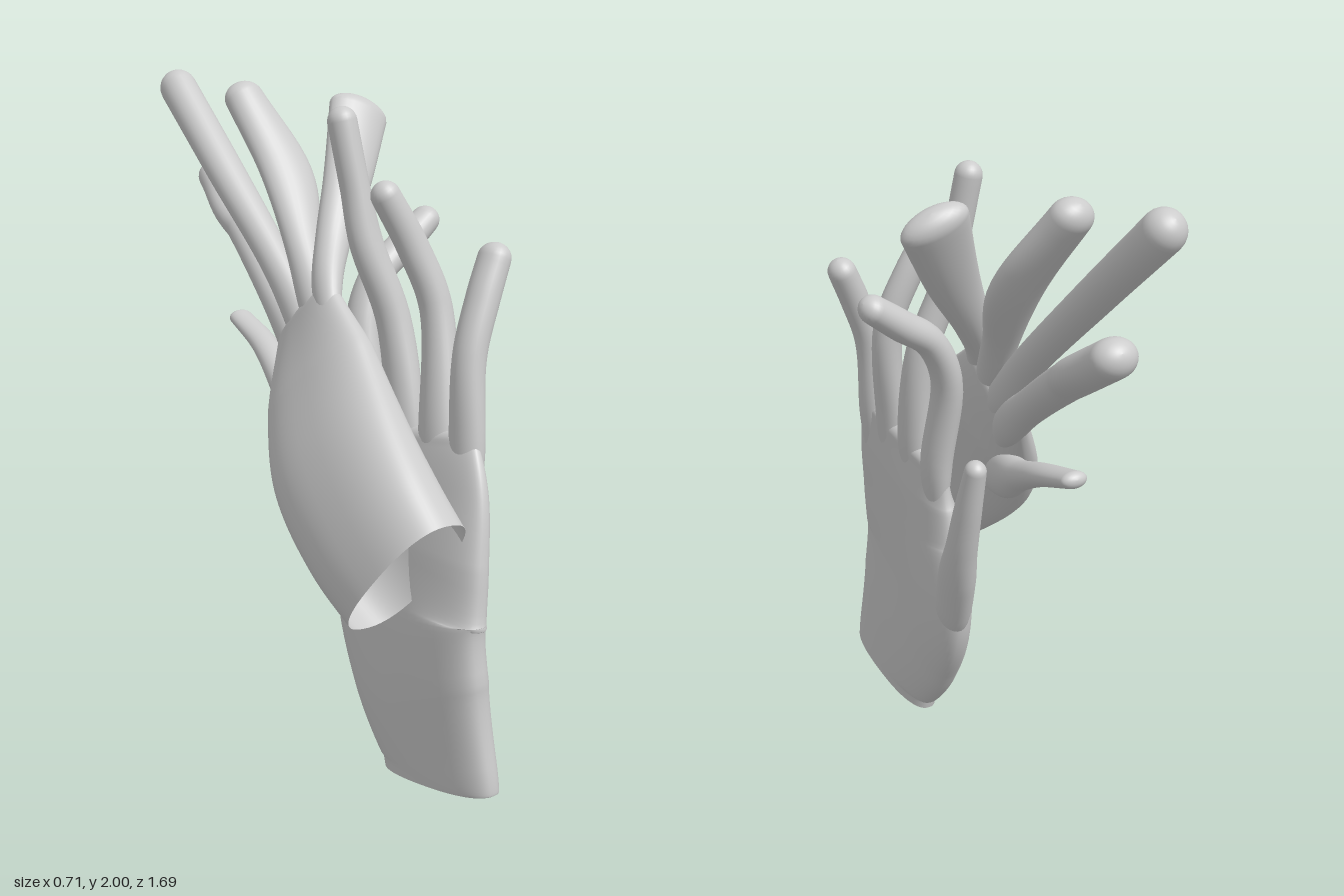
import * as THREE from 'three';

const material = new THREE.MeshStandardMaterial({ color: 0xcccccc, side: THREE.DoubleSide });
const bulge = (v, e) => Math.sign(v) * Math.abs(v) ** e;

// Smooth loft of rounded sections with a round tip and an open start.
// Row: x, y, z, half thickness (across x), half width, roll. Exponent below 1 gives blunter sides.
function loft(name, rows, steps, sides, exponent) {
  const path = new THREE.CatmullRomCurve3(rows.map(r => new THREE.Vector3(r[0], r[1], r[2])));
  const size = new THREE.CatmullRomCurve3(rows.map(r => new THREE.Vector3(r[3], r[4], r[5] || 0)));
  const pos = [], idx = [], capSteps = 7;
  for (let i = 0; i <= steps + capSteps; i++) {
    const t = Math.min(i / steps, 1);
    const c = path.getPoint(t), s = size.getPoint(t), T = path.getTangent(t);
    const a = Math.max(0, i - steps) / capSteps * Math.PI / 2;
    c.addScaledVector(T, Math.min(s.x, s.y) * Math.sin(a));
    const k = Math.max(Math.cos(a), 0.001);
    const U0 = new THREE.Vector3(1, 0, 0).addScaledVector(T, -T.x).normalize();
    const V0 = new THREE.Vector3().crossVectors(T, U0);
    const cr = Math.cos(s.z), sr = Math.sin(s.z);
    const U = U0.clone().multiplyScalar(cr).addScaledVector(V0, -sr);
    const V = V0.clone().multiplyScalar(cr).addScaledVector(U0, sr);
    for (let j = 0; j < sides; j++) {
      const q = j / sides * Math.PI * 2;
      const p = c.clone()
        .addScaledVector(U, bulge(Math.cos(q), exponent) * s.x * k)
        .addScaledVector(V, bulge(Math.sin(q), exponent) * s.y * k);
      pos.push(p.x, p.y, p.z);
    }
  }
  for (let i = 0; i < steps + capSteps; i++) {
    for (let j = 0; j < sides; j++) {
      const a = i * sides + j, b = i * sides + (j + 1) % sides;
      idx.push(a, b, b + sides, a, b + sides, a + sides);
    }
  }
  const g = new THREE.BufferGeometry();
  g.setAttribute('position', new THREE.Float32BufferAttribute(pos, 3));
  g.setIndex(idx);
  g.computeVertexNormals();
  const mesh = new THREE.Mesh(g, material);
  mesh.name = name;
  return mesh;
}

function glove(name, parts) {
  const group = new THREE.Group();
  group.name = name;
  for (const [part, rows] of Object.entries(parts)) {
    group.add(part === 'palm' ? loft(part, rows, 48, 64, 0.82) : loft(part, rows, 32, 28, 1));
  }
  return group;
}

export function createModel() {
  const model = new THREE.Group();
  model.name = 'pairOfGloves';

  // Upright glove; finger roots start thin inside the palm
  model.add(glove('uprightGlove', {
    palm: [
      [-0.04, 0.052, 0.61, 0.07, 0.244, 0], [-0.042, 0.11, 0.597, 0.075, 0.255, 0.02],
      [-0.045, 0.32, 0.505, 0.088, 0.33, 0.07], [-0.035, 0.55, 0.43, 0.085, 0.38, 0.1],
      [-0.02, 0.74, 0.44, 0.075, 0.34, 0.07], [0, 0.9, 0.43, 0.06, 0.31, 0.03], [0.015, 1.02, 0.405, 0.04, 0.268, 0]],
    thumb: [
      [0, 0.38, 0.21, 0.02, 0.05], [0.01, 0.53, 0.12, 0.05, 0.085], [0.035, 0.68, 0.04, 0.052, 0.078],
      [0.055, 0.8, -0.02, 0.046, 0.06], [0.065, 0.95, -0.075, 0.04, 0.05], [0.068, 1.1, -0.125, 0.033, 0.035]],
    indexFinger: [
      [0.01, 0.78, 0.215, 0.02, 0.04], [0.02, 1.0, 0.195, 0.045, 0.066], [0.02, 1.3, 0.125, 0.047, 0.057],
      [0.09, 1.44, 0.1, 0.047, 0.054], [0.2, 1.515, 0.08, 0.047, 0.053], [0.295, 1.58, 0.065, 0.043, 0.048]],
    middleFinger: [
      [0.01, 0.82, 0.355, 0.02, 0.04], [0.02, 1.05, 0.34, 0.047, 0.068], [0.015, 1.35, 0.285, 0.05, 0.052],
      [-0.05, 1.57, 0.24, 0.05, 0.046], [-0.07, 1.73, 0.21, 0.042, 0.044], [-0.09, 1.905, 0.178, 0.042, 0.043]],
    ringFinger: [
      [0.01, 0.82, 0.5, 0.02, 0.04], [0.02, 1.05, 0.49, 0.045, 0.067], [0.055, 1.4, 0.43, 0.047, 0.047],
      [0, 1.57, 0.395, 0.047, 0.043], [-0.08, 1.72, 0.37, 0.042, 0.042]],
    littleFinger: [
      [0.005, 0.8, 0.64, 0.015, 0.035], [0.02, 1.05, 0.62, 0.043, 0.06], [0.04, 1.3, 0.597, 0.046, 0.05],
      [0.095, 1.45, 0.58, 0.047, 0.05], [0.145, 1.555, 0.565, 0.045, 0.05]]
  }));

  // Leaning glove, with fingers flaring toward the tips
  model.add(glove('leaningGlove', {
    palm: [
      [-0.21, 0.73, 0.655, 0.13, 0.228, -0.22], [-0.215, 0.84, 0.5, 0.125, 0.245, -0.26],
      [-0.195, 0.98, 0.315, 0.11, 0.25, -0.3], [-0.135, 1.15, 0.13, 0.08, 0.225, -0.25],
      [-0.075, 1.3, -0.02, 0.045, 0.165, -0.1]],
    thumb: [
      [-0.18, 0.92, 0.2, 0.03, 0.05], [-0.125, 1.0, 0.01, 0.055, 0.075], [-0.07, 1.07, -0.16, 0.047, 0.046],
      [-0.02, 1.15, -0.35, 0.045, 0.034], [0, 1.205, -0.53, 0.04, 0.025]],
    indexFinger: [
      [-0.12, 1.1, 0.06, 0.02, 0.04], [-0.07, 1.22, -0.1, 0.045, 0.062], [-0.035, 1.32, -0.25, 0.05, 0.054],
      [0.03, 1.5, -0.54, 0.065, 0.055], [0.07, 1.637, -0.785, 0.065, 0.055]],
    middleFinger: [
      [-0.12, 1.15, 0.1, 0.02, 0.04], [-0.07, 1.29, -0.06, 0.045, 0.06], [-0.06, 1.44, -0.21, 0.05, 0.052],
      [-0.07, 1.7, -0.5, 0.06, 0.055], [-0.075, 1.935, -0.775, 0.06, 0.06]],
    ringFinger: [
      [-0.12, 1.2, 0.15, 0.02, 0.04], [-0.06, 1.36, -0.01, 0.045, 0.058], [-0.02, 1.5, -0.125, 0.058, 0.05],
      [0.03, 1.7, -0.29, 0.088, 0.053], [-0.005, 1.92, -0.48, 0.065, 0.053]],
    littleFinger: [
      [-0.12, 1.23, 0.19, 0.02, 0.035], [-0.05, 1.41, 0.045, 0.043, 0.055], [0.03, 1.53, -0.04, 0.055, 0.05],
      [0.15, 1.7, -0.135, 0.08, 0.05], [0.26, 1.88, -0.235, 0.1, 0.05]]
  }));

  return model;
}
